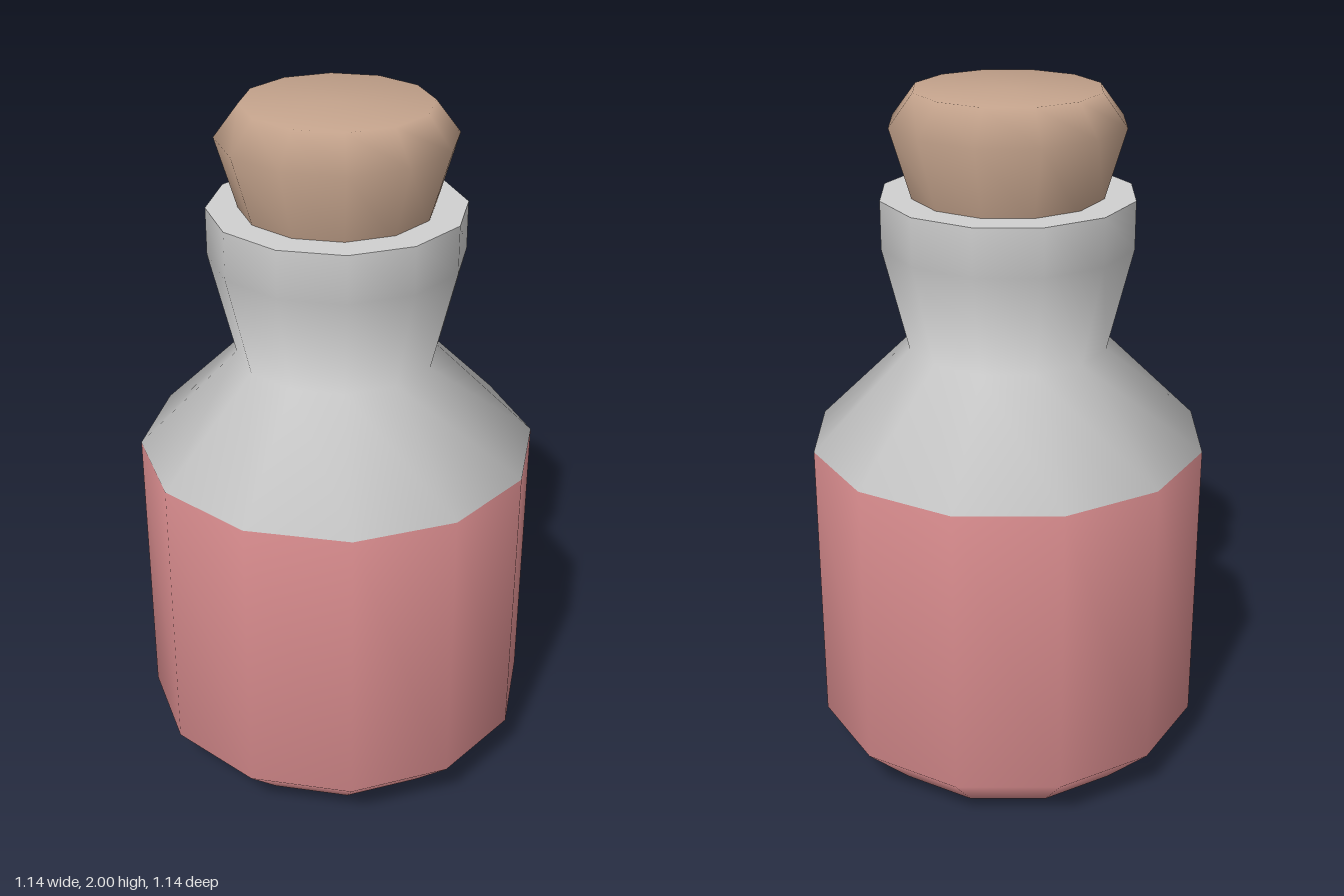
import * as THREE from 'three';

const SIDES = 12;

// Lathe from [radius, height] pairs, listed bottom to top
function lathe(profile) {
  return new THREE.LatheGeometry(profile.map(([r, y]) => new THREE.Vector2(r, y)), SIDES);
}

export function createModel() {
  const group = new THREE.Group();
  const glass = new THREE.MeshStandardMaterial({ color: 0xd0d0d0 });
  glass.name = 'glass';
  const liquid = new THREE.MeshStandardMaterial({ color: 0xd4898b });
  liquid.name = 'liquid';
  const cork = new THREE.MeshStandardMaterial({ color: 0xc4a38c });
  cork.name = 'cork';

  const add = (name, geometry, material) => {
    const mesh = new THREE.Mesh(geometry, material);
    mesh.name = name;
    group.add(mesh);
  };

  // Bottle wall: smooth from base to lip, lower two bands filled with liquid
  const wall = lathe([
    [0.425, 0], [0.57, 0.145], [0.57, 1],
    [0.285, 1.285], [0.357, 1.58], [0.357, 1.715],
  ]);
  const liquidBands = 2, bands = 5;
  for (let i = 0; i < SIDES; i++) {
    const start = i * bands * 6;
    wall.addGroup(start, liquidBands * 6, 0);
    wall.addGroup(start + liquidBands * 6, (bands - liquidBands) * 6, 1);
  }
  add('bottleWall', wall, [liquid, glass]);

  // Flat base and flat rim have hard edges, so they are separate
  add('bottleBase', lathe([[0, 0], [0.425, 0]]), liquid);
  add('bottleRim', lathe([[0.357, 1.715], [0.25, 1.715]]), glass);

  // Tapered stopper with a bevelled, softly shaded top
  add('stopper', lathe([[0.265, 1.7], [0.328, 1.91], [0.26, 2], [0, 2]]), cork);

  return group;
}
